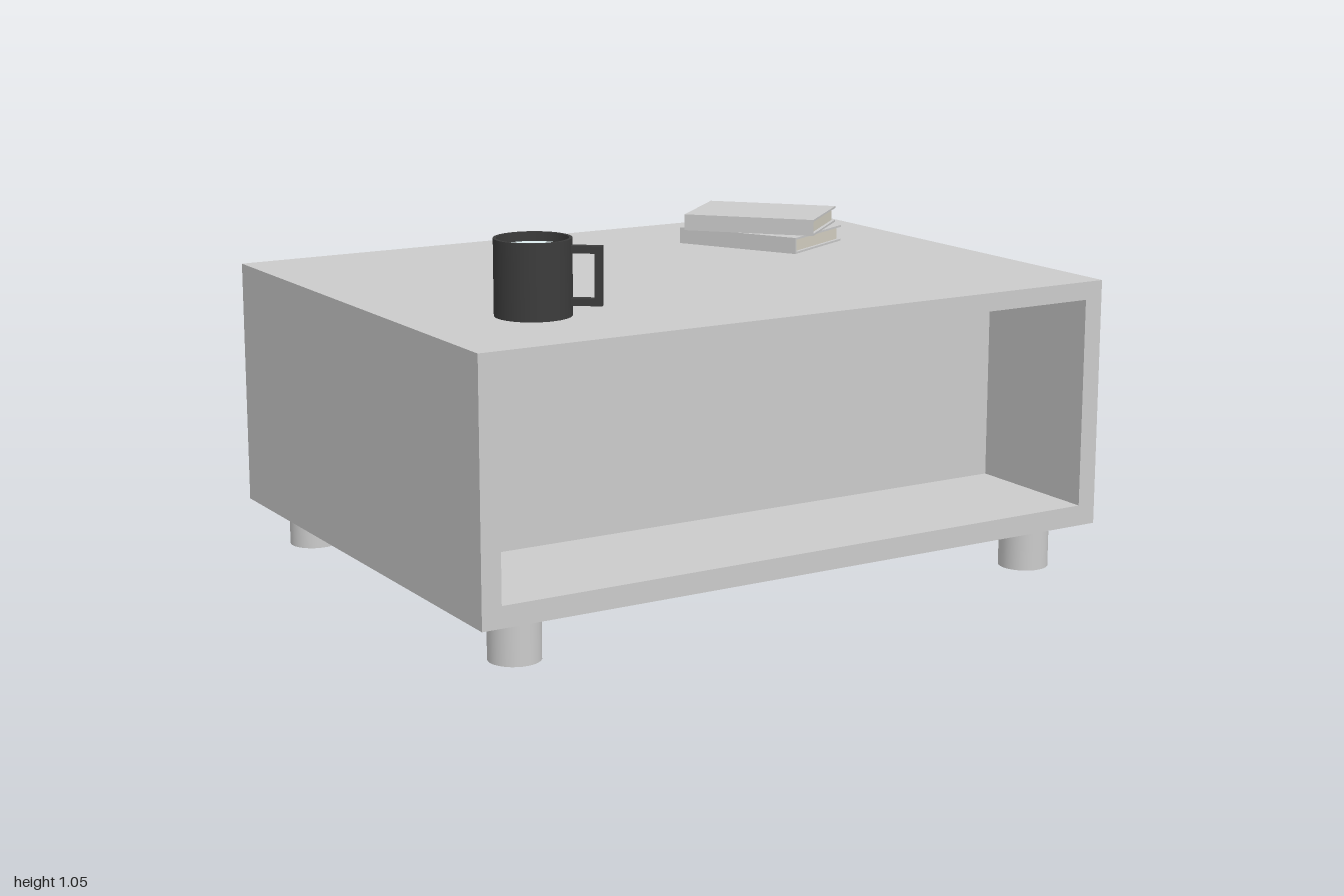
import * as THREE from 'three';

const mat = (color) => new THREE.MeshStandardMaterial({ color });
const grey = mat(0xcccccc);
const paper = mat(0xd6d2c4);
const ceramic = mat(0x3c3c3c);
const liquid = mat(0xdcecee);

function add(parent, name, geometry, material, x = 0, y = 0, z = 0) {
  const mesh = new THREE.Mesh(geometry, material);
  mesh.name = name;
  mesh.position.set(x, y, z);
  parent.add(mesh);
  return mesh;
}

function rect(PathType, x0, y0, x1, y1) {
  return new PathType([[x0, y0], [x1, y0], [x1, y1], [x0, y1]].map((p) => new THREE.Vector2(...p)));
}

// Table: a box frame with a recess front and back around a solid core, on four round legs
function table() {
  const g = new THREE.Group();
  g.name = 'table';
  const W = 0.997, D = 0.763, recess = 0.435;
  const outline = rect(THREE.Shape, -W, 0.13, W, 0.847);
  outline.holes.push(rect(THREE.Path, -0.94, 0.19, 0.94, 0.795));
  const frame = new THREE.ExtrudeGeometry(outline, { depth: 2 * D, bevelEnabled: false });
  add(g, 'cabinetFrame', frame, grey, 0, 0, -D);
  add(g, 'core', new THREE.BoxGeometry(1.88, 0.605, 2 * (D - recess)), grey, 0, 0.4925, 0);
  for (const x of [-0.842, 0.838])
    for (const z of [-0.646, 0.642])
      add(g, 'leg', new THREE.CylinderGeometry(0.072, 0.072, 0.13, 32), grey, x, 0.065, z);
  g.rotation.y = 0.003;
  return g;
}

// Book: two covers, a spine on -x and an inset block of pages
function book(x, y, z, angle) {
  const g = new THREE.Group();
  g.name = 'book';
  const w = 0.3, l = 0.405, h = 0.049, t = 0.006, inset = 0.01;
  for (const cy of [t / 2, h - t / 2])
    add(g, 'cover', new THREE.BoxGeometry(w, t, l), grey, 0, cy, 0);
  add(g, 'spine', new THREE.BoxGeometry(t, h - 2 * t, l), grey, -w / 2 + t / 2, h / 2, 0);
  add(g, 'pages', new THREE.BoxGeometry(w - t - inset, h - 2 * t, l - 2 * inset), paper,
    (t - inset) / 2, h / 2, 0);
  g.position.set(x, y, z);
  g.rotation.y = angle;
  return g;
}

// Mug: turned wall, filled, with a squared loop handle on +x
function mug() {
  const g = new THREE.Group();
  g.name = 'mug';
  const r = 0.105, ri = 0.096, h = 0.208;
  // Doubled corner points keep the rim and base crisp
  const profile = [[0, 0], [r, 0], [r, 0], [r, h], [r, h], [ri, h], [ri, h], [ri, 0.012], [ri, 0.012], [0, 0.012]]
    .map((p) => new THREE.Vector2(...p));
  add(g, 'mugWall', new THREE.LatheGeometry(profile, 40), ceramic);
  const surface = add(g, 'liquid', new THREE.CircleGeometry(ri, 40), liquid, 0, h - 0.025, 0);
  surface.rotation.x = -Math.PI / 2;
  const loop = rect(THREE.Shape, 0.1, 0.03, 0.187, 0.19);
  loop.holes.push(rect(THREE.Path, 0.09 + 0.012, 0.05, 0.167, 0.17));
  const handle = new THREE.ExtrudeGeometry(loop, { depth: 0.022, bevelEnabled: false });
  add(g, 'handle', handle, ceramic, 0, 0, -0.011);
  g.position.set(-0.64, 0.847, 0.393);
  g.rotation.y = -0.69;
  return g;
}

export function createModel() {
  const model = new THREE.Group();
  model.name = 'coffeeTable';
  model.add(table(), mug());
  model.add(book(0.535, 0.847, -0.31, 0.491), book(0.535, 0.897, -0.31, 0.742));
  return model;
}
